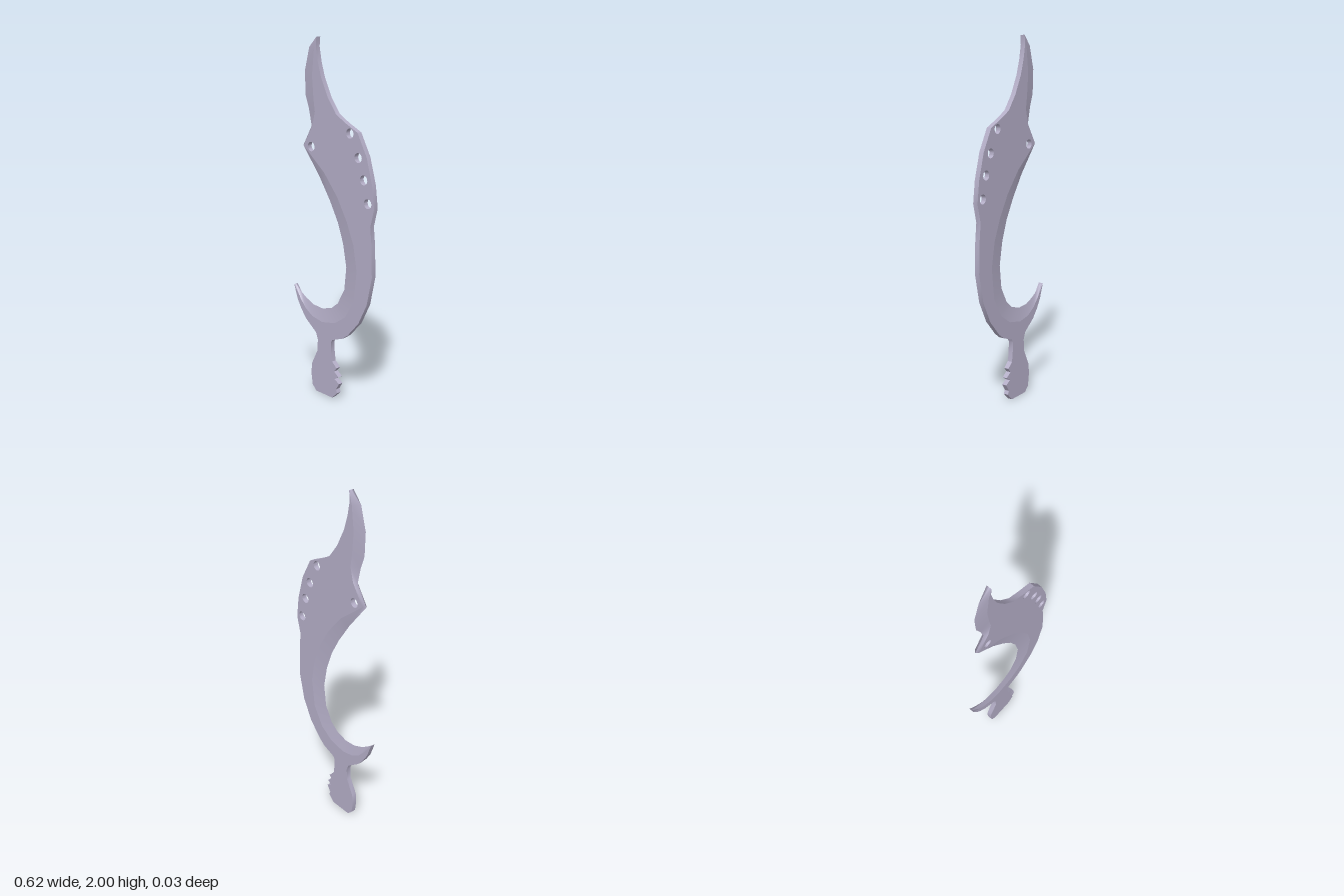
import * as THREE from 'three';
import { toCreasedNormals } from 'three/addons/utils/BufferGeometryUtils.js';

const HALF = 0.014; // half thickness of the plate
const steel = new THREE.MeshStandardMaterial({ color: 0xb3adc6 });

// Outer outline of the blade, from the guard up the spine to the tip
const SPINE = [
  [0, 0.35], [0.08, 0.38], [0.12, 0.41], [0.2, 0.5], [0.26, 0.62], [0.295, 0.78],
  [0.29, 0.95], [0.28, 1.05], [0.305, 1.15], [0.29, 1.27], [0.25, 1.41], [0.185, 1.53],
  [0.1, 1.57], [0.03, 1.61], [-0.03, 1.69], [-0.08, 1.79], [-0.105, 1.87], [-0.12, 1.95],
];

// Ground side from tip to hook: [sharp edge x, y, ridge x, y]
const GRIND = [
  [-0.115, 2, -0.115, 2], [-0.185, 1.945, -0.135, 1.93], [-0.22, 1.82, -0.15, 1.8],
  [-0.215, 1.69, -0.14, 1.68], [-0.19, 1.62, -0.13, 1.61], [-0.17, 1.53, -0.15, 1.53],
  [-0.235, 1.42, -0.22, 1.42], [-0.11, 1.26, -0.06, 1.29], [-0.03, 1.14, 0.04, 1.17],
  [0.03, 1.03, 0.11, 1.05], [0.07, 0.92, 0.16, 0.93], [0.095, 0.79, 0.185, 0.79],
  [0.08, 0.66, 0.165, 0.62], [0.03, 0.57, 0.1, 0.51], [-0.02, 0.53, 0.02, 0.455],
  [-0.09, 0.51, -0.08, 0.435], [-0.16, 0.515, -0.16, 0.45], [-0.22, 0.54, -0.215, 0.485],
  [-0.26, 0.565, -0.255, 0.53], [-0.31, 0.605, -0.31, 0.605],
];

// Underside of the hook back to the guard
const HOOK = [[-0.28, 0.52], [-0.25, 0.47], [-0.21, 0.42], [-0.13, 0.36]];

// Handle with its toothed edge
const HANDLE = [
  [-0.13, 0], [0, 0], [0.04, 0.04], [0.03, 0.06], [0.055, 0.1], [0.02, 0.12], [0.05, 0.14],
  [0.015, 0.165], [0.035, 0.19], [0, 0.22], [-0.007, 0.27], [-0.01, 0.33], [0, 0.35],
  [-0.13, 0.36], [-0.115, 0.32], [-0.12, 0.25], [-0.165, 0.16], [-0.17, 0.1], [-0.16, 0.03],
];

const HOLES = [[0.13, 1.52], [0.19, 1.4], [0.23, 1.29], [0.26, 1.17], [-0.16, 1.42]];

function plate(name, points, holes = []) {
  const shape = new THREE.Shape(points.map(([x, y]) => new THREE.Vector2(x, y)));
  for (const [x, y] of holes) {
    shape.holes.push(new THREE.Path().absarc(x, y, 0.026, 0, Math.PI * 2, true));
  }
  const geo = new THREE.ExtrudeGeometry(shape, { depth: 2 * HALF, bevelEnabled: false, curveSegments: 10 });
  geo.translate(0, 0, -HALF);
  const mesh = new THREE.Mesh(toCreasedNormals(geo, Math.PI / 6), steel);
  mesh.name = name;
  return mesh;
}

// Sloping strip from the ridge down to the sharp edge, on one side (+1 front, -1 back)
function bevel(name, side) {
  const pos = [], index = [];
  GRIND.forEach(([ex, ey, rx, ry], i) => {
    pos.push(ex, ey, 0, rx, ry, side * HALF);
    if (i === 0) return;
    const a = 2 * i - 2, b = a + 1, c = a + 2, d = a + 3;
    if (side > 0) index.push(a, c, b, b, c, d);
    else index.push(a, b, c, b, d, c);
  });
  const geo = new THREE.BufferGeometry();
  geo.setAttribute('position', new THREE.Float32BufferAttribute(pos, 3));
  geo.setIndex(index);
  geo.computeVertexNormals();
  const mesh = new THREE.Mesh(geo, steel);
  mesh.name = name;
  return mesh;
}

export function createModel() {
  const model = new THREE.Group();
  model.name = 'curvedBlade';
  const ridge = GRIND.map(([, , x, y]) => [x, y]);
  model.add(
    plate('blade', [...SPINE, ...ridge, ...HOOK], HOLES),
    bevel('frontBevel', 1),
    bevel('backBevel', -1),
    plate('handle', HANDLE),
  );
  return model;
}
